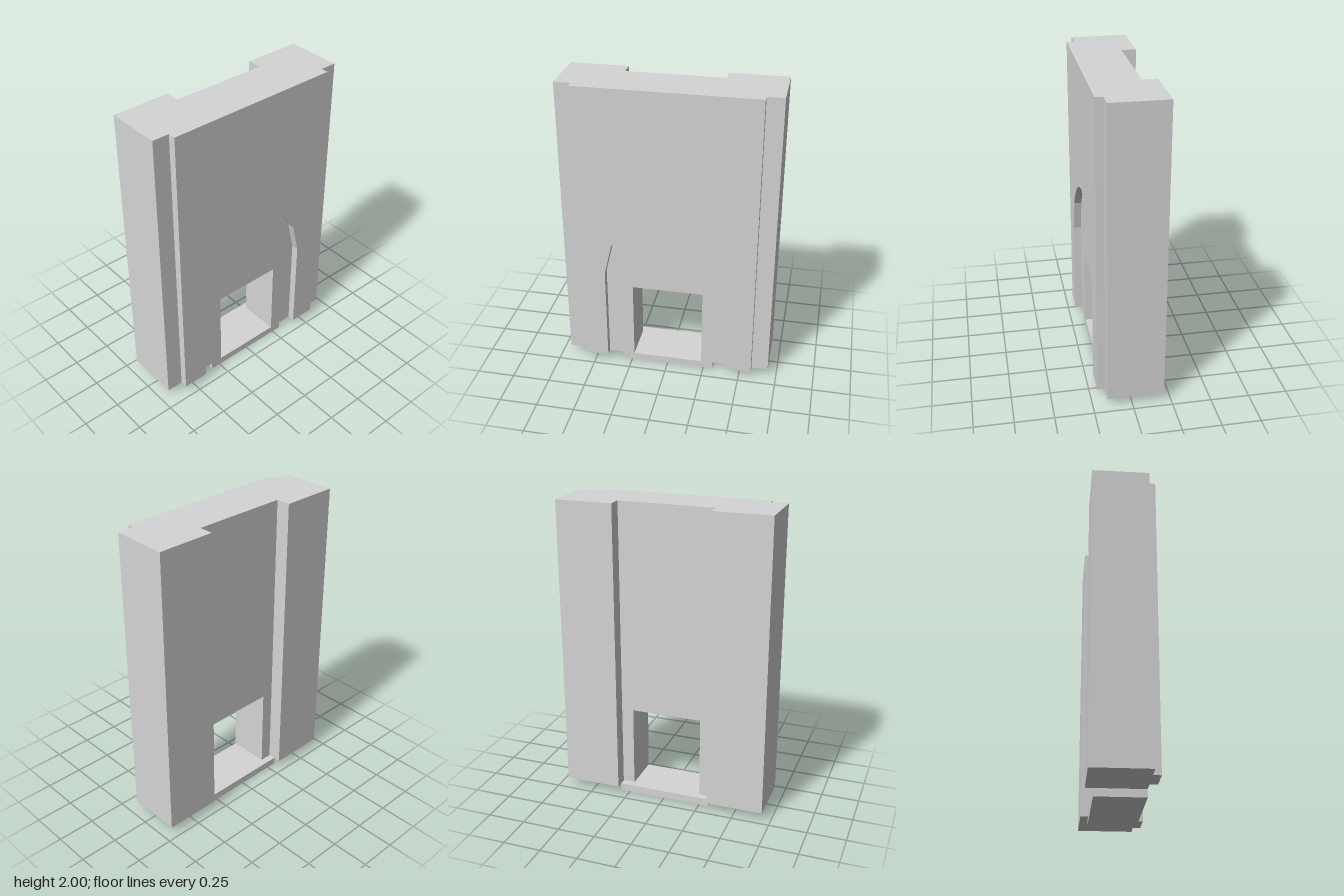
import * as THREE from 'three';

const BASE = 0.05, TOP = 2;
const stone = new THREE.MeshStandardMaterial({ color: 0xd5d5d5 });
stone.name = 'pale grey stone';

// Upright slab whose bottom edge is cut by an opening, listed from its left foot to its right foot
function slab(name, halfWidth, opening, z0, z1) {
  const outline = [
    [-halfWidth, BASE], ...opening, [halfWidth, BASE], [halfWidth, TOP], [-halfWidth, TOP],
  ].map(([x, y]) => new THREE.Vector2(x, y));
  const geometry = new THREE.ExtrudeGeometry(new THREE.Shape(outline), { depth: z1 - z0, bevelEnabled: false });
  geometry.translate(0, 0, z0);
  const mesh = new THREE.Mesh(geometry, stone);
  mesh.name = name;
  return mesh;
}

function block(name, x0, x1, y0, y1, z0, z1) {
  const mesh = new THREE.Mesh(new THREE.BoxGeometry(x1 - x0, y1 - y0, z1 - z0), stone);
  mesh.position.set((x0 + x1) / 2, (y0 + y1) / 2, (z0 + z1) / 2);
  mesh.name = name;
  return mesh;
}

export function createModel() {
  const model = new THREE.Group();
  model.name = 'wallWithDoorway';

  // Main wall with the square doorway
  const door = [[-0.235, BASE], [-0.235, 0.597], [0.235, 0.597], [0.235, BASE]];
  model.add(slab('wall', 0.692, door, -0.112, 0.157));

  // Raised front panel with a pointed arch cut out of it
  const half = [
    [0.41, BASE], [0.41, 0.713], [0.36, 0.927], [0.315, 1.0], [0.26, 1.063], [0.19, 1.119], [0.1, 1.168],
  ];
  const arch = [...half.map(([x, y]) => [-x, y]), [0, 1.193], ...half.slice().reverse()];
  model.add(slab('frontPanel', 0.582, arch, 0.157, 0.206));

  // Thick piers flanking the recess at the back
  model.add(block('leftPier', 0.315, 0.692, BASE, TOP, -0.206, -0.112));
  model.add(block('rightPier', -0.692, -0.315, BASE, TOP, -0.206, -0.112));

  // Threshold below the doorway
  model.add(block('threshold', -0.315, 0.315, 0, BASE, -0.158, 0.157));
  return model;
}
